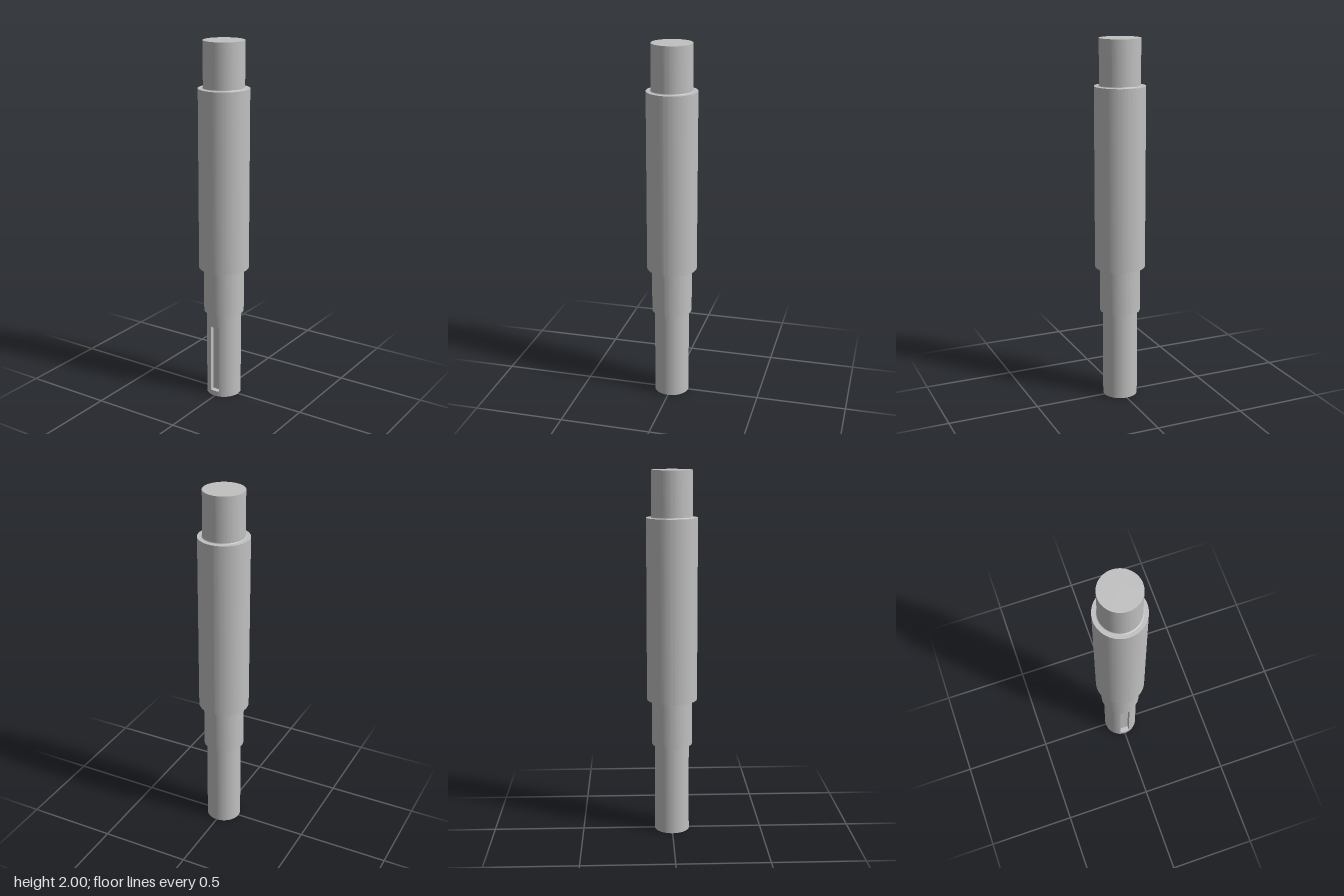
import * as THREE from 'three';
import { toCreasedNormals } from 'three/addons/utils/BufferGeometryUtils.js';

const COLLAR_R = 0.138, JOURNAL_R = 0.111, END_R = 0.096, FILLET = 0.006;
const SLOT = { half: 0.028, bottom: 0.03, top: 0.42, floor: 0.066 };

export function createModel() {
  const steel = new THREE.MeshStandardMaterial({ color: 0xc0c0c0 });
  steel.name = 'steel';
  const group = new THREE.Group();
  group.name = 'steppedShaft';

  const add = (name, geometry, parent = group) => {
    const mesh = new THREE.Mesh(geometry, steel);
    mesh.name = name;
    parent.add(mesh);
    return mesh;
  };

  // Quarter-round fillet where radius r meets a shoulder at height y;
  // dir = 1 when the shoulder is above, -1 when it is below
  const fillet = (r, y, dir) => {
    const points = [];
    for (let i = 0; i <= 5; i++) {
      const t = (i / 5) * Math.PI / 2;
      points.push([r + FILLET * (1 - Math.cos(t)), y - dir * FILLET * (1 - Math.sin(t))]);
    }
    return dir > 0 ? points : points.reverse();
  };

  // Revolved body: lower journal, collar and upper journal with filleted shoulders
  const profile = [
    ...fillet(END_R, 0.5, 1),
    [JOURNAL_R, 0.5],
    ...fillet(JOURNAL_R, 0.755, 1),
    [COLLAR_R, 0.755], [COLLAR_R, 1.75],
    ...fillet(JOURNAL_R, 1.75, -1),
    [JOURNAL_R, 2], [0, 2],
  ].map(([r, y]) => new THREE.Vector2(r, y));
  add('journalsAndCollar', toCreasedNormals(new THREE.LatheGeometry(profile, 128), 0.15));

  // Drive end: curved skin left open at the keyway
  const driveEnd = new THREE.Group();
  driveEnd.name = 'driveEnd';
  group.add(driveEnd);
  const a = Math.asin(SLOT.half / END_R);
  const skin = (name, y0, y1, start, length, segments) => {
    const geometry = new THREE.CylinderGeometry(END_R, END_R, y1 - y0, segments, 1, true, start, length);
    add(name, geometry, driveEnd).position.y = (y0 + y1) / 2;
  };
  const bands = [[0, SLOT.bottom], [SLOT.bottom, SLOT.top], [SLOT.top, 0.5 - FILLET]];
  bands.forEach(([y0, y1], i) => {
    skin('endSkin', y0, y1, a, 2 * Math.PI - 2 * a, 116);
    if (i !== 1) skin('endSkinAboveOrBelowKeyway', y0, y1, -a, 2 * a, 12);
  });
  add('bottomFace', new THREE.CircleGeometry(END_R, 128), driveEnd).rotation.x = Math.PI / 2;

  // Keyway pocket: floor, side walls and end walls
  const keyway = new THREE.Group();
  keyway.name = 'keyway';
  driveEnd.add(keyway);
  const height = SLOT.top - SLOT.bottom, midY = (SLOT.top + SLOT.bottom) / 2;
  const edgeZ = END_R * Math.cos(a);
  add('keywayFloor', new THREE.PlaneGeometry(2 * SLOT.half, height), keyway)
    .position.set(0, midY, SLOT.floor);
  for (const side of [-1, 1]) {
    const wall = add('keywaySideWall', new THREE.PlaneGeometry(edgeZ - SLOT.floor, height), keyway);
    wall.rotation.y = -side * Math.PI / 2;
    wall.position.set(side * SLOT.half, midY, (edgeZ + SLOT.floor) / 2);

    const end = new THREE.Shape();
    const s = side; // shape y maps to +z on the top wall and to -z on the bottom wall
    end.moveTo(-SLOT.half, s * SLOT.floor);
    end.lineTo(SLOT.half, s * SLOT.floor);
    end.absarc(0, 0, END_R, s * (Math.PI / 2 - a), s * (Math.PI / 2 + a), s < 0);
    const endWall = add('keywayEndWall', new THREE.ShapeGeometry(end, 12), keyway);
    endWall.rotation.x = s * Math.PI / 2;
    endWall.position.y = s > 0 ? SLOT.top : SLOT.bottom;
  }
  return group;
}
